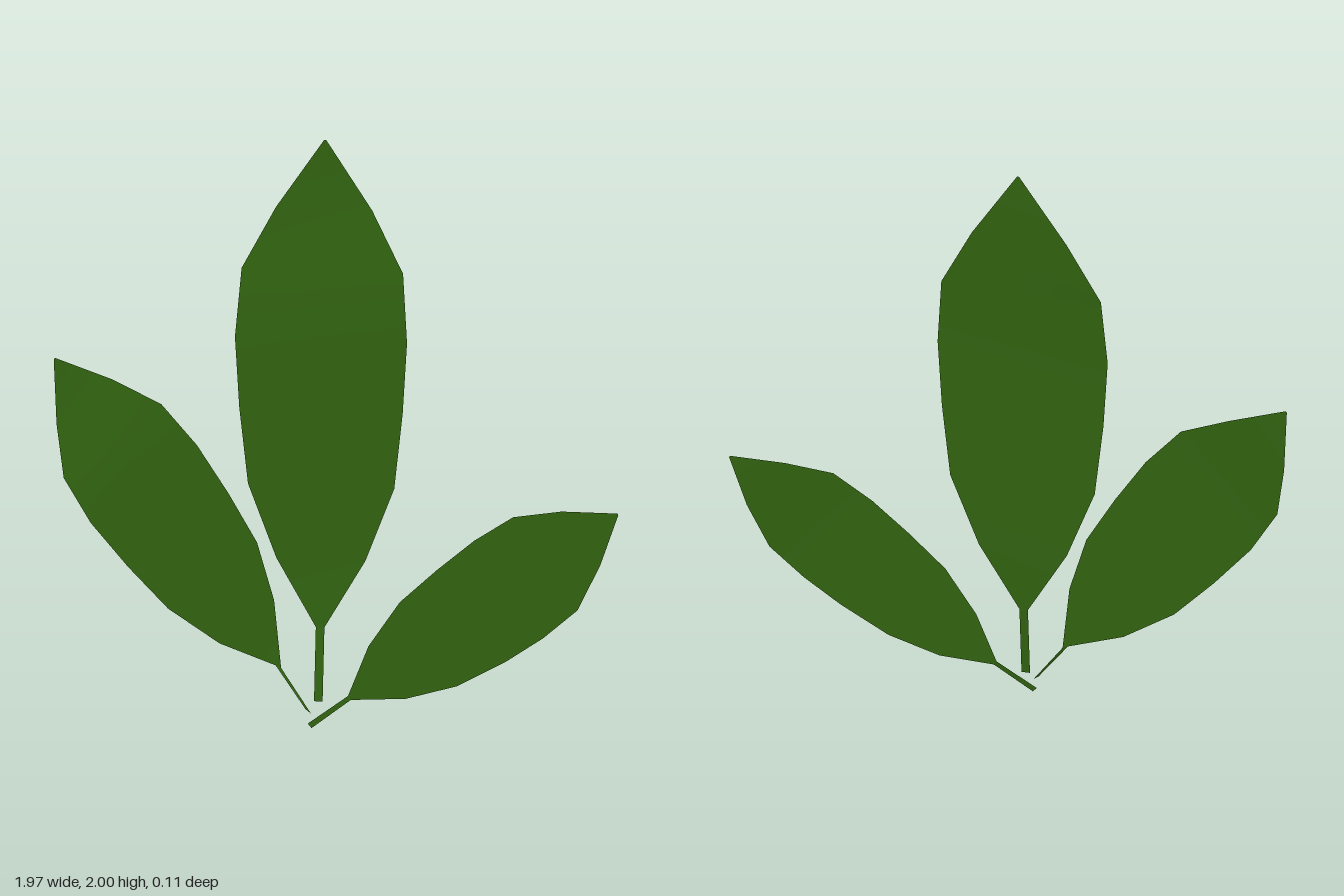
import * as THREE from 'three';

const green = new THREE.MeshStandardMaterial({ color: 0x336611, side: THREE.DoubleSide });

// Thin blade lofted over cross rows [leftX, leftY, rightX, rightY, z], from stem to tip.
function blade(name, rows) {
  const positions = [], index = [];
  rows.forEach(([lx, ly, rx, ry, z], i) => {
    positions.push(lx, ly, z, rx, ry, z);
    if (i === 0) return;
    const a = 2 * i - 2;
    index.push(a, a + 1, a + 3, a, a + 3, a + 2);
  });
  const geometry = new THREE.BufferGeometry();
  geometry.setAttribute('position', new THREE.Float32BufferAttribute(positions, 3));
  geometry.setIndex(index);
  geometry.computeVertexNormals();
  const mesh = new THREE.Mesh(geometry, green);
  mesh.name = name;
  return mesh;
}

// A leaf is a narrow stem (first two rows) and a broad blade sharing the second row.
function leaf(name, rows) {
  const group = new THREE.Group();
  group.name = name;
  group.add(blade('stem', rows.slice(0, 2)), blade('blade', rows.slice(1)));
  return group;
}

export function createModel() {
  const model = new THREE.Group();
  model.name = 'leafCluster';

  // Tall upright leaf, bending backwards near the tip
  model.add(leaf('middleLeaf', [
    [-0.07, 0.09, -0.04, 0.09, 0.015],
    [-0.07, 0.34, -0.04, 0.34, -0.01],
    [-0.21, 0.57, 0.10, 0.57, -0.02],
    [-0.31, 0.82, 0.20, 0.82, -0.024],
    [-0.34, 1.08, 0.23, 1.08, -0.022],
    [-0.355, 1.32, 0.245, 1.32, -0.022],
    [-0.335, 1.555, 0.228, 1.555, -0.035],
    [-0.22, 1.765, 0.115, 1.765, -0.055],
    [-0.052, 2.0, -0.045, 2.0, -0.055],
  ]));

  // Leaf leaning to the model's right
  model.add(leaf('rightLeaf', [
    [-0.092, 0.066, -0.073, 0.052, 0.045],
    [-0.203, 0.208, -0.184, 0.2, 0.018],
    [-0.4, 0.275, -0.21, 0.43, 0.012],
    [-0.58, 0.387, -0.27, 0.625, 0.01],
    [-0.72, 0.525, -0.37, 0.79, 0.01],
    [-0.85, 0.67, -0.48, 0.95, 0.009],
    [-0.945, 0.82, -0.605, 1.085, 0.006],
    [-0.975, 1.0, -0.78, 1.16, -0.014],
    [-0.985, 1.222, -0.98, 1.226, -0.015],
  ]));

  // Short low leaf leaning to the model's left
  model.add(leaf('leftLeaf', [
    [-0.083, 0.018, -0.07, 0.003, 0.05],
    [0.05, 0.113, 0.06, 0.1, 0.022],
    [0.12, 0.285, 0.25, 0.11, 0.016],
    [0.23, 0.44, 0.43, 0.16, 0.019],
    [0.36, 0.555, 0.6, 0.25, 0.021],
    [0.49, 0.66, 0.73, 0.335, 0.021],
    [0.625, 0.745, 0.85, 0.435, 0.018],
    [0.79, 0.768, 0.925, 0.59, 0.001],
    [0.985, 0.768, 0.987, 0.762, 0],
  ]));

  return model;
}
